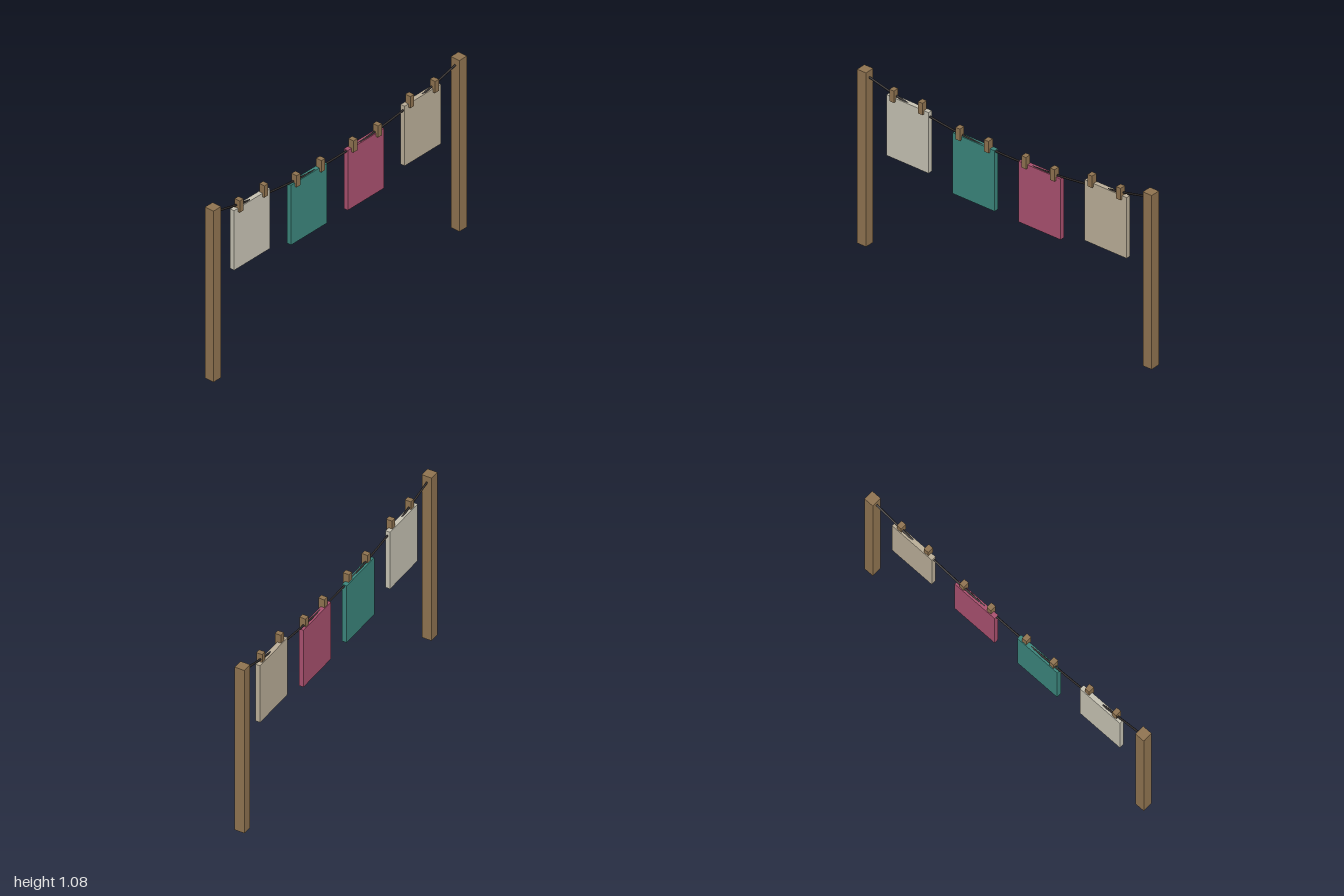
import * as THREE from 'three';

const WOOD = 0x8f7350;

function createBox(name, color, size, position) {
  const mesh = new THREE.Mesh(
    new THREE.BoxGeometry(...size),
    new THREE.MeshStandardMaterial({ color })
  );
  mesh.name = name;
  mesh.position.set(...position);
  return mesh;
}

export function createModel() {
  const model = new THREE.Group();
  model.name = 'clothesline';

  // Square posts
  for (const [name, side] of [['leftPost', 1], ['rightPost', -1]]) {
    model.add(createBox(name, WOOD, [0.06, 1.075, 0.06], [side * 0.97, 0.5375, 0]));
  }

  // Sagging line between the posts
  const points = [];
  for (let i = 0; i <= 12; i++) {
    const t = i / 6 - 1;
    points.push(new THREE.Vector3(t * 0.97, 0.911 + 0.13 * t * t, 0));
  }
  const line = new THREE.Mesh(
    new THREE.TubeGeometry(new THREE.CatmullRomCurve3(points), 24, 0.006, 6),
    new THREE.MeshStandardMaterial({ color: 0x2e2a2a })
  );
  line.name = 'line';
  model.add(line);

  // Hanging cloths, each held by two pegs
  const cloths = [
    [-0.674, 0.98, 0xc6c2b3],
    [-0.225, 0.92, 0x3b857c],
    [0.223, 0.92, 0xa9506f],
    [0.672, 0.98, 0xbaae98],
  ];
  cloths.forEach(([x, top, color], i) => {
    const hanging = new THREE.Group();
    hanging.name = `hangingCloth${i + 1}`;
    hanging.position.set(x, top, 0);
    hanging.add(createBox('cloth', color, [0.285, 0.375, 0.028], [0, -0.1875, -0.003]));
    for (const [name, side] of [['leftPeg', 1], ['rightPeg', -1]]) {
      hanging.add(createBox(name, WOOD, [0.03, 0.073, 0.036], [side * 0.097, 0.015, 0.006]));
    }
    model.add(hanging);
  });

  return model;
}
